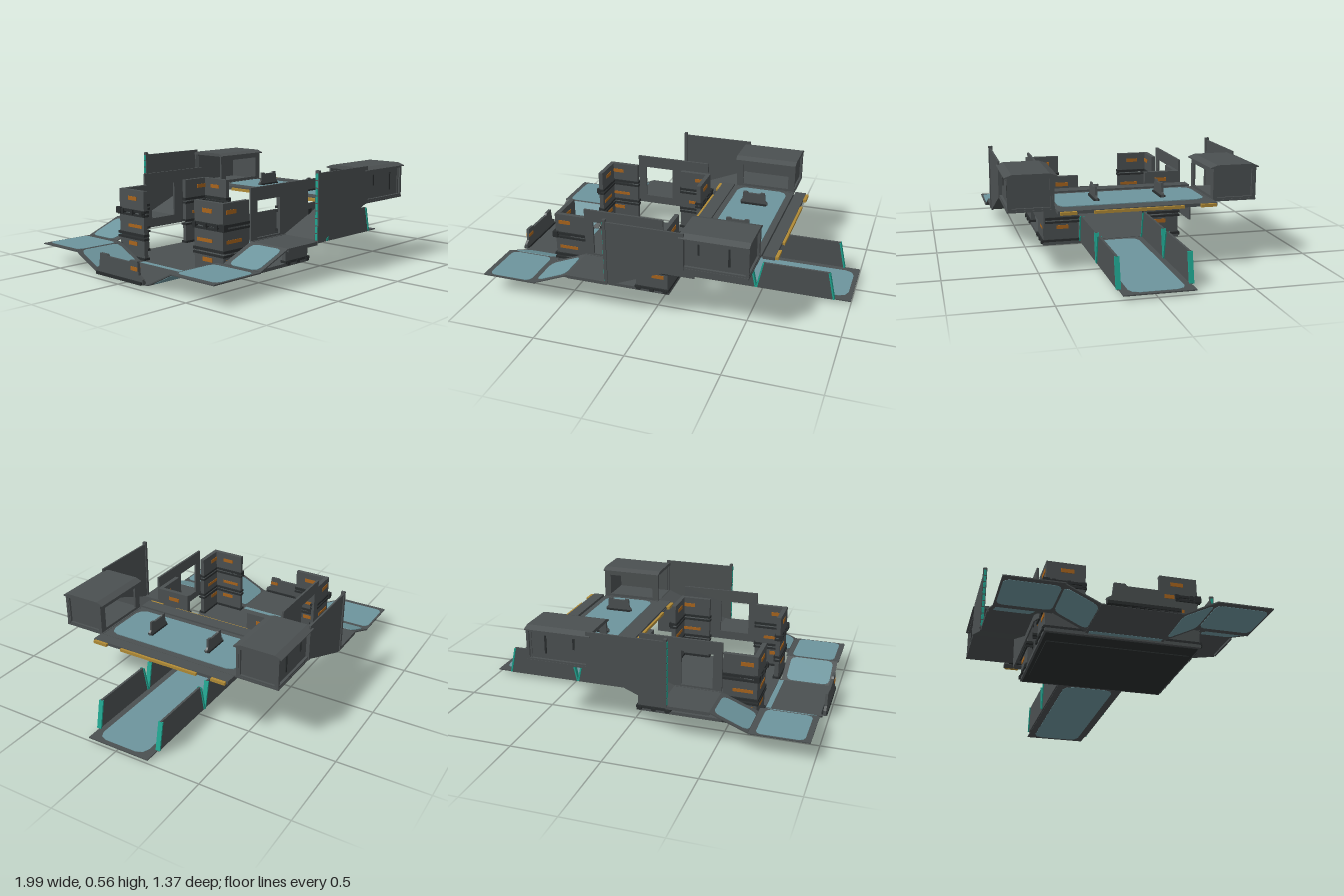
import * as THREE from 'three';

const mat = (name, color) => {
  const m = new THREE.MeshStandardMaterial({ color });
  m.name = name;
  return m;
};

export function createModel() {
  const grey = mat('hull grey', 0x4b5051);
  const dark = mat('dark trim', 0x292d2e);
  const blue = mat('blue glass', 0x6d959d);
  const orange = mat('orange marking', 0xa8641c);
  const gold = mat('gold strip', 0xb08a35);
  const teal = mat('teal light', 0x1fa590);

  const root = new THREE.Group();
  root.name = 'outpost';
  const body = new THREE.Group();
  body.name = 'structure';
  body.position.z = -0.012;
  root.add(body);

  const add = (name, geo, m) => {
    const mesh = new THREE.Mesh(geo, m);
    mesh.name = name;
    body.add(mesh);
    return mesh;
  };
  // Box from two opposite corners, in any order
  const box = (name, m, x0, x1, y0, y1, z0, z1) => {
    const g = new THREE.BoxGeometry(Math.abs(x1 - x0), Math.abs(y1 - y0), Math.abs(z1 - z0));
    g.translate((x0 + x1) / 2, (y0 + y1) / 2, (z0 + z1) / 2);
    return add(name, g, m);
  };
  const shapeOf = (pts, hole) => {
    const s = new THREE.Shape(pts.map(p => new THREE.Vector2(...p)));
    if (hole) s.holes.push(new THREE.Path(hole.map(p => new THREE.Vector2(...p))));
    return s;
  };
  const rect = (a, b, c, d) => [[a, c], [b, c], [b, d], [a, d]];
  // Side profile (x, y) extruded between two z values
  const sideProfile = (name, m, pts, z0, z1, hole) => {
    const g = new THREE.ExtrudeGeometry(shapeOf(pts, hole), { depth: Math.abs(z1 - z0), bevelEnabled: false });
    g.translate(0, 0, Math.min(z0, z1));
    return add(name, g, m);
  };
  // End profile (z, y) extruded between two x values
  const endProfile = (name, m, pts, x0, x1, hole) => {
    const g = new THREE.ExtrudeGeometry(shapeOf(pts, hole), { depth: x1 - x0, bevelEnabled: false });
    g.rotateY(-Math.PI / 2).translate(x1, 0, 0);
    return add(name, g, m);
  };
  // Flat pane with cut corners, visible from both sides of its floor
  const pane = (name, x0, x1, z0, z1, y, c = 0.03) => {
    const w = Math.abs(x1 - x0) / 2, d = Math.abs(z1 - z0) / 2, k = c * 0.3;
    const pts = [[-w + c, -d], [w - c, -d], [w - k, -d + k], [w, -d + c], [w, d - c], [w - k, d - k],
      [w - c, d], [-w + c, d], [-w + k, d - k], [-w, d - c], [-w, -d + c], [-w + k, -d + k]];
    const g = new THREE.ExtrudeGeometry(shapeOf(pts), { depth: 0.0096, bevelEnabled: false });
    g.translate(0, 0, -0.0048).rotateX(Math.PI / 2);
    const mesh = add(name, g, blue);
    mesh.position.set((x0 + x1) / 2, y, (z0 + z1) / 2);
    return mesh;
  };
  // Low barrier outline with a raised, notched top
  const barrier = (c, half, y, h) => [[c - half, y], [c + half, y], [c + half, y + h * 0.25], [c + half * 0.85, y + h * 0.4],
    [c + half * 0.8, y + h], [c + half * 0.5, y + h], [c + half * 0.45, y + h * 0.9], [c - half * 0.45, y + h * 0.9],
    [c - half * 0.5, y + h], [c - half * 0.8, y + h], [c - half * 0.85, y + h * 0.4], [c - half, y + h * 0.25]];

  // Base platform
  const cx = -0.315;
  box('baseFoot', dark, -0.55, -0.09, 0.01, 0.02, -0.38, 0.38);
  box('basePlatform', grey, -0.655, 0.025, 0.018, 0.036, -0.41, 0.41);
  box('baseUnderside', dark, -0.64, 0.01, 0.015, 0.02, -0.4, 0.4);

  // Four L-shaped corner walls, each three tiers high
  for (const sx of [1, -1]) for (const sz of [1, -1]) {
    const X = v => cx + sx * v, Z = v => sz * v;
    for (let i = 0; i < 3; i++) {
      const y = 0.035 + i * 0.131, top = y + 0.122;
      box('cornerWallLong', grey, X(0.145), X(0.332), y, top, Z(0.382), Z(0.407));
      box('cornerWallEnd', grey, X(0.307), X(0.332), y, top, Z(0.2), Z(0.407));
      for (const [a, b] of [[y, y + 0.014], [top - 0.012, top]]) {
        if (i === 2 && a > y) continue;
        box('wallFlange', dark, X(0.14), X(0.34), a, b, Z(0.376), Z(0.416));
        box('wallFlange', dark, X(0.3), X(0.34), a, b, Z(0.195), Z(0.416));
      }
      // painted markings inside and outside
      const my = y + [0.075, 0.045, 0.065][i], mh = i === 1 ? 0.018 : 0.022;
      const a = i === 1 ? 0.2 : 0.24, w = i === 1 ? 0.11 : 0.07;
      box('wallMarking', orange, X(a), X(a + w), my, my + mh, Z(0.379), Z(0.41));
      box('wallMarking', orange, X(0.304), X(0.335), my, my + mh, Z(a + 0.02), Z(a + 0.02 + w));
    }
    box('wallRib', dark, X(0.315), X(0.345), 0.28, 0.315, Z(0.39), Z(0.425));
    for (const t of [0.16, 0.24, 0.32]) {
      box('baseLug', dark, X(t - 0.012), X(t + 0.012), 0.026, 0.045, Z(0.4), Z(0.42));
      box('flangeLug', dark, X(0.325), X(0.348), 0.284, 0.31, Z(t + 0.04), Z(t + 0.06));
    }
  }

  // Side galleries, mirrored front and back
  for (const s of [1, -1]) {
    const Z = v => s * v;
    // inner wall with a window opening
    sideProfile('windowFrame', grey, rect(-0.46, 0, 0.2, 0.48), Z(0.41), Z(0.422), rect(-0.41, -0.235, 0.215, 0.41));
    sideProfile('innerWall', grey, [[-0.62, 0.125], [-0.6, 0.11], [-0.46, 0.16], [0.18, 0.16], [0.18, 0.35], [-0.18, 0.205], [-0.46, 0.205]],
      Z(0.422), Z(0.43));
    // stepped walkway
    sideProfile('walkway', grey, [[-0.66, 0.116], [-0.46, 0.196], [-0.2, 0.196], [0.18, 0.35], [0.18, 0.357], [-0.2, 0.203],
      [-0.46, 0.203], [-0.66, 0.122]], Z(0.42), Z(0.672));
    const rise = Math.atan2(0.08, 0.2);
    pane('walkwayPane', -0.667, -0.469, Z(0.455), Z(0.65), 0.1575).rotation.z = rise;
    // outer wall and its lit post
    sideProfile('outerWall', grey, [[-0.23, 0.195], [-0.2, 0.195], [0.18, 0.35], [0.2, 0.35], [0.2, 0.556], [-0.23, 0.556]], Z(0.666), Z(0.676));
    box('outerPost', grey, -0.237, -0.22, 0.2, 0.57, Z(0.66), Z(0.682));
    for (let i = 0; i < 9; i++) {
      box('postLight', teal, -0.24, -0.236, 0.21 + i * 0.039, 0.243 + i * 0.039, Z(0.664), Z(0.678));
    }
    box('outerKerb', grey, -0.46, -0.23, 0.185, 0.203, Z(0.664), Z(0.674));
    // cabin with framed faces
    box('cabinFloor', grey, 0.18, 0.54, 0.35, 0.36, Z(0.42), Z(0.672));
    sideProfile('cabinOuterFrame', grey, rect(0.18, 0.54, 0.355, 0.535), Z(0.655), Z(0.67), rect(0.2, 0.525, 0.37, 0.52));
    box('cabinOuterPanel', grey, 0.19, 0.53, 0.36, 0.53, Z(0.648), Z(0.656));
    box('cabinLatch', dark, 0.27, 0.28, 0.44, 0.5, Z(0.655), Z(0.661));
    box('cabinLatch', dark, 0.43, 0.44, 0.4, 0.5, Z(0.655), Z(0.661));
    sideProfile('cabinInnerFrame', grey, rect(0.18, 0.54, 0.355, 0.535), Z(0.428), Z(0.44), rect(0.22, 0.5, 0.375, 0.5));
    const za = Math.min(Z(0.43), Z(0.668)), zb = Math.max(Z(0.43), Z(0.668));
    endProfile('cabinEndFrame', grey, rect(za, zb, 0.355, 0.535), 0.525, 0.538, rect(za + 0.02, zb - 0.02, 0.37, 0.52));
    box('cabinEndPanel', grey, 0.515, 0.526, 0.36, 0.53, Z(0.44), Z(0.66));
    endProfile('cabinRoof', grey, [[Z(0.41), 0.528], [Z(0.684), 0.528], [Z(0.684), 0.533], [Z(0.645), 0.547], [Z(0.45), 0.547],
      [Z(0.41), 0.533]], 0.175, 0.542);
    // wing platform and slope at the far end
    box('wingPlatform', grey, -0.975, -0.66, 0.113, 0.119, Z(0.375), Z(0.672));
    pane('wingPane', -0.945, -0.695, Z(0.385), Z(0.662), 0.116);
    const a = Math.atan2(0.085, 0.175);
    const slope = box('wingSlope', grey, -0.15, 0.15, -0.003, 0.003, -0.097, 0.097);
    slope.position.set(-0.818, 0.0735, Z(0.289));
    slope.rotation.x = -s * a;
    pane('slopePane', -0.945, -0.695, -0.092, 0.092, 0.0735).position.z = Z(0.289);
    body.children[body.children.length - 1].rotation.x = -s * a;
  }

  // Low apron joining the wings, with its end barrier
  box('apron', grey, -0.97, -0.65, 0.028, 0.034, -0.205, 0.205);
  box('apronStrip', blue, -0.685, -0.657, 0.027, 0.036, -0.19, 0.19);
  endProfile('apronBarrier', grey, barrier(0, 0.185, 0.03, 0.115), -0.985, -0.97);
  box('barrierFoot', dark, -0.992, -0.96, 0.03, 0.046, -0.18, 0.18);
  box('barrierMarking', orange, -0.988, -0.967, 0.095, 0.115, 0.1, 0.15);

  // Entry ramp with trapezoid side walls
  box('ramp', grey, 0.02, 1, 0.028, 0.034, -0.185, 0.185);
  pane('rampPane', 0.055, 0.975, -0.145, 0.145, 0.031, 0.05);
  for (const s of [1, -1]) for (const x of [0.03, 0.47]) {
    const z = s * 0.187, x1 = x + 0.44;
    sideProfile('rampWall', grey, [[x, 0.03], [x1, 0.03], [x1 - 0.035, 0.192], [x + 0.035, 0.192]], z - 0.006, z + 0.006);
    // light strips along the sloped ends
    for (const [e, d] of [[x, 1], [x1, -1]]) {
      const p = [[e - d * 0.002, 0.034], [e + d * 0.007, 0.034], [e + d * 0.041, 0.19], [e + d * 0.032, 0.19]];
      sideProfile('rampLight', teal, p, z - 0.013, z + 0.013);
    }
  }

  // Raised bridge deck
  box('deck', grey, 0.09, 0.54, 0.352, 0.358, -0.42, 0.42);
  box('deckBeam', grey, 0.095, 0.17, 0.345, 0.368, -0.42, 0.42);
  box('deckEdge', grey, 0.55, 0.615, 0.347, 0.364, -0.425, 0.425);
  box('deckJoint', dark, 0.53, 0.56, 0.349, 0.356, -0.4, 0.4);
  pane('deckPane', 0.205, 0.505, -0.4, 0.4, 0.3575, 0.05);
  for (const x of [0.085, 0.622]) {
    box('goldStrip', gold, x - 0.007, x + 0.007, 0.345, 0.36, -0.24, 0.24);
    for (const s of [1, -1]) box('goldClip', gold, x - 0.01, x + 0.01, 0.346, 0.362, s * 0.33, s * 0.415);
  }
  for (const s of [1, -1]) {
    sideProfile('deckBarrier', grey, barrier(0.35, 0.08, 0.358, 0.08), s * 0.183 - 0.006, s * 0.183 + 0.006);
    box('deckBarrierFoot', dark, 0.275, 0.425, 0.358, 0.372, s * 0.183 - 0.015, s * 0.183 + 0.015);
  }
  return root;
}
